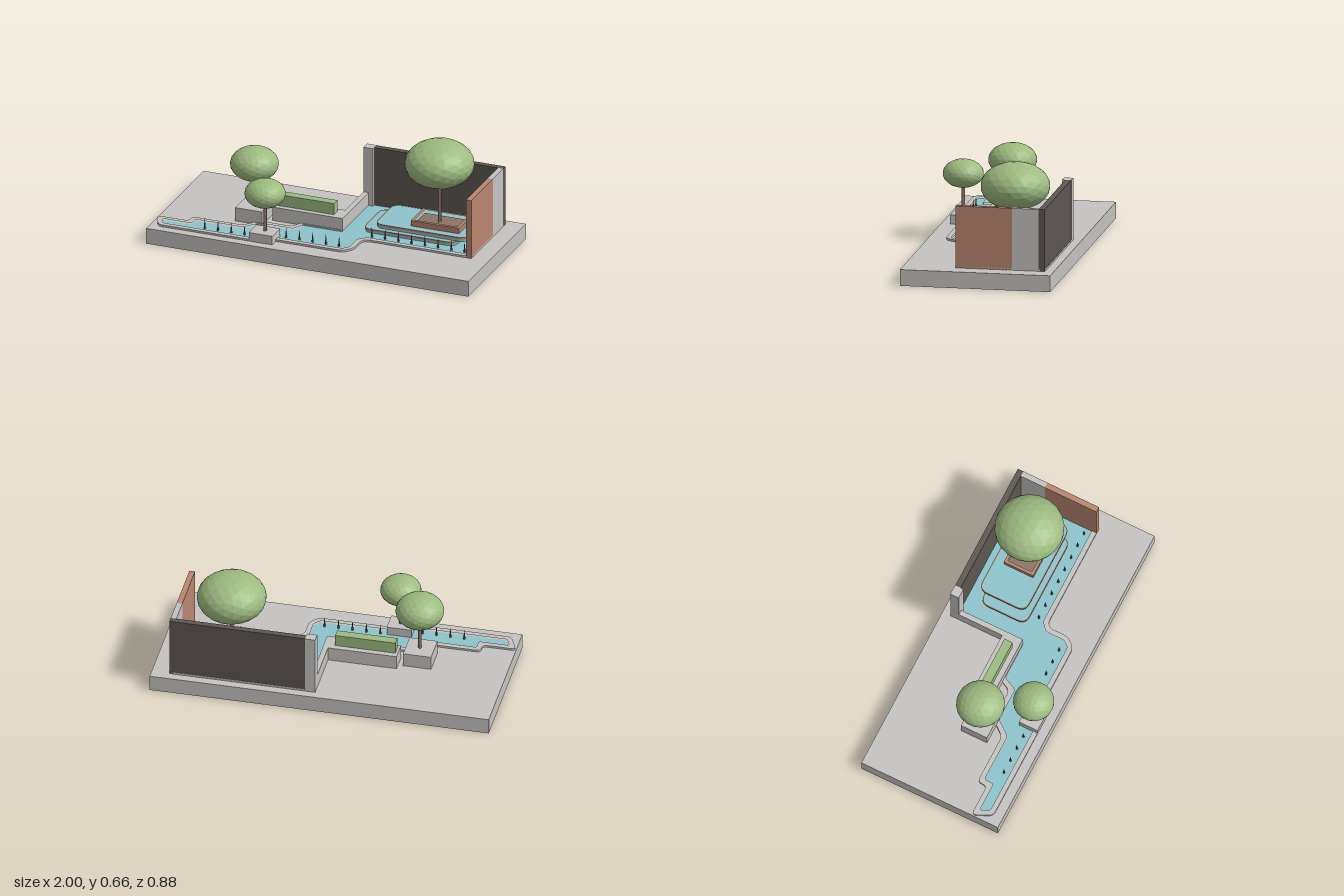
import * as THREE from 'three';

const mat = (name, color, flatShading = false) =>
  Object.assign(new THREE.MeshStandardMaterial({ color, flatShading }), { name });

export function createModel() {
  const stone = mat('stone', 0xc5c3c1);
  const water = mat('water', 0x8cc3cb);
  const clay = mat('terracotta', 0xb88670);
  const dark = mat('darkWall', 0x5d5652);
  const leaf = mat('foliage', 0x9dbb80, true);
  const bark = mat('bark', 0x8a7466);

  const model = new THREE.Group();
  model.name = 'waterGarden';

  const add = (name, geometry, material) => {
    const mesh = new THREE.Mesh(geometry, material);
    mesh.name = name;
    model.add(mesh);
    return mesh;
  };

  // Box given by its limits on each axis
  const box = (name, material, x0, x1, y0, y1, z0, z1) =>
    add(name, new THREE.BoxGeometry(x1 - x0, y1 - y0, z1 - z0), material)
      .position.set((x0 + x1) / 2, (y0 + y1) / 2, (z0 + z1) / 2);

  // Outline through [x, z] corners, each corner rounded by up to r
  const outline = (corners, r, Type = THREE.Shape) => {
    const pts = corners.map(([x, z]) => new THREE.Vector2(x, -z));
    const path = new Type();
    pts.forEach((p, i) => {
      const a = pts[(i + pts.length - 1) % pts.length];
      const b = pts[(i + 1) % pts.length];
      const near = (q) => p.clone().lerp(q, Math.min(0.45, r / p.distanceTo(q)));
      const start = near(a), end = near(b);
      if (i) path.lineTo(start.x, start.y);
      else path.moveTo(start.x, start.y);
      path.quadraticCurveTo(p.x, p.y, end.x, end.y);
    });
    path.closePath();
    return path;
  };

  // Push a clockwise (seen from above) outline outwards by d
  const offset = (pts, d) => pts.map((p, i) => {
    const a = pts[(i + pts.length - 1) % pts.length];
    const b = pts[(i + 1) % pts.length];
    const normal = (s, e) => new THREE.Vector2(e[1] - s[1], s[0] - e[0]).normalize();
    const n1 = normal(a, p), n2 = normal(p, b);
    const m = n1.clone().add(n2).multiplyScalar(d / (1 + n1.dot(n2)));
    return [p[0] + m.x, p[1] + m.y];
  });

  // Upright slab from an outline
  const slab = (name, material, shape, y0, y1) => {
    const g = new THREE.ExtrudeGeometry(shape, { depth: y1 - y0, bevelEnabled: false, curveSegments: 5 });
    g.rotateX(-Math.PI / 2);
    add(name, g, material).position.y = y0;
  };

  // Ground
  const ground = 0.096;
  box('base', stone, -1, 1, 0, ground, -0.44, 0.44);

  // Pool and its curb
  const pool = [
    [-0.955, 0.3], [-0.775, 0.3], [-0.775, 0.24], [-0.48, 0.24], [-0.41, 0.15],
    [-0.205, 0.15], [-0.165, 0.067], [0.065, 0.067], [0.065, -0.36], [0.865, -0.36],
    [0.865, 0.105], [0.24, 0.105], [0.192, 0.145], [0.192, 0.265], [0.16, 0.302],
    [-0.3, 0.302], [-0.3, 0.355], [-0.93, 0.355],
  ];
  slab('poolWater', water, outline(pool, 0.015), ground - 0.01, ground + 0.003);
  const curb = outline(offset(pool, 0.03), 0.03);
  curb.holes.push(outline(pool, 0.015, THREE.Path));
  slab('poolCurb', stone, curb, ground - 0.01, 0.108);

  // Tall walls around the pool
  const top = 0.461;
  box('backWall', dark, 0.095, 0.895, ground, top, -0.388, -0.353);
  box('wallPillar', stone, 0.035, 0.095, ground, top, -0.39, -0.335);
  box('sideWallStone', stone, 0.862, 0.895, ground, top, -0.353, -0.197);
  box('sideWallClay', clay, 0.862, 0.895, ground, top, -0.197, 0.135);

  // Low wall, hedge planter and hedge
  box('lowWall', stone, 0.035, 0.066, ground, 0.18, -0.335, -0.055);
  box('hedgePlanter', stone, -0.37, 0.066, ground, 0.18, -0.055, 0.062);
  box('hedge', leaf, -0.355, 0, 0.18, 0.25, -0.022, 0.03);

  // Stepped basins: water body, raised clay rim, water surface
  const basin = (name, x0, x1, z0, z1, y0, y1) => {
    const corners = [[x0, z0], [x1, z0], [x1, z1], [x0, z1]];
    slab(name + 'Water', water, outline(offset(corners, -0.004), 0.05), y0, y1 - 0.002);
    const rim = outline(corners, 0.055);
    rim.holes.push(outline(offset(corners, -0.006), 0.05, THREE.Path));
    slab(name + 'Rim', clay, rim, y1 - 0.011, y1);
  };
  basin('lowerBasin', 0.175, 0.75, -0.27, 0.025, ground, 0.124);
  basin('upperBasin', 0.235, 0.81, -0.31, -0.008, 0.12, 0.148);

  // Clay tree bed with soil
  const bed = [[0.44, -0.25], [0.74, -0.25], [0.74, -0.06], [0.44, -0.06]];
  const bedWall = outline(bed, 0.004);
  bedWall.holes.push(outline(offset(bed, -0.018), 0.004, THREE.Path));
  slab('treeBedWall', clay, bedWall, 0.14, 0.18);
  slab('treeBedSoil', bark, outline(offset(bed, -0.017), 0.004), 0.14, 0.16);

  // Stone blocks under the small trees
  box('treeBlockLeft', stone, -0.565, -0.4, ground, 0.18, -0.018, 0.15);
  box('treeBlockFront', stone, -0.385, -0.24, ground, 0.15, 0.265, 0.385);

  // Trees: trunk and flattened crown
  const tree = (name, x, z, y0, cy, r, ry) => {
    add(name + 'Trunk', new THREE.CylinderGeometry(0.01, 0.01, cy - y0, 10), bark)
      .position.set(x, (cy + y0) / 2, z);
    const crown = add(name + 'Crown', new THREE.IcosahedronGeometry(1, 3), leaf);
    crown.scale.set(r, ry, r);
    crown.position.set(x, cy, z);
  };
  tree('bigTree', 0.58, -0.155, 0.155, 0.524, 0.202, 0.138);
  tree('leftTree', -0.48, 0.065, 0.18, 0.438, 0.141, 0.099);
  tree('frontTree', -0.31, 0.322, 0.15, 0.384, 0.119, 0.083);

  // Rows of water spouts
  const spouts = (x0, count, z) => {
    for (let i = 0; i < count; i++) {
      add('spout', new THREE.ConeGeometry(0.007, 0.07, 8), dark)
        .position.set(x0 + i * 0.0822, ground + 0.035, z);
    }
  };
  spouts(0.252, 8, 0.072);
  spouts(-0.202, 5, 0.265);
  spouts(-0.685, 4, 0.32);

  return model;
}
